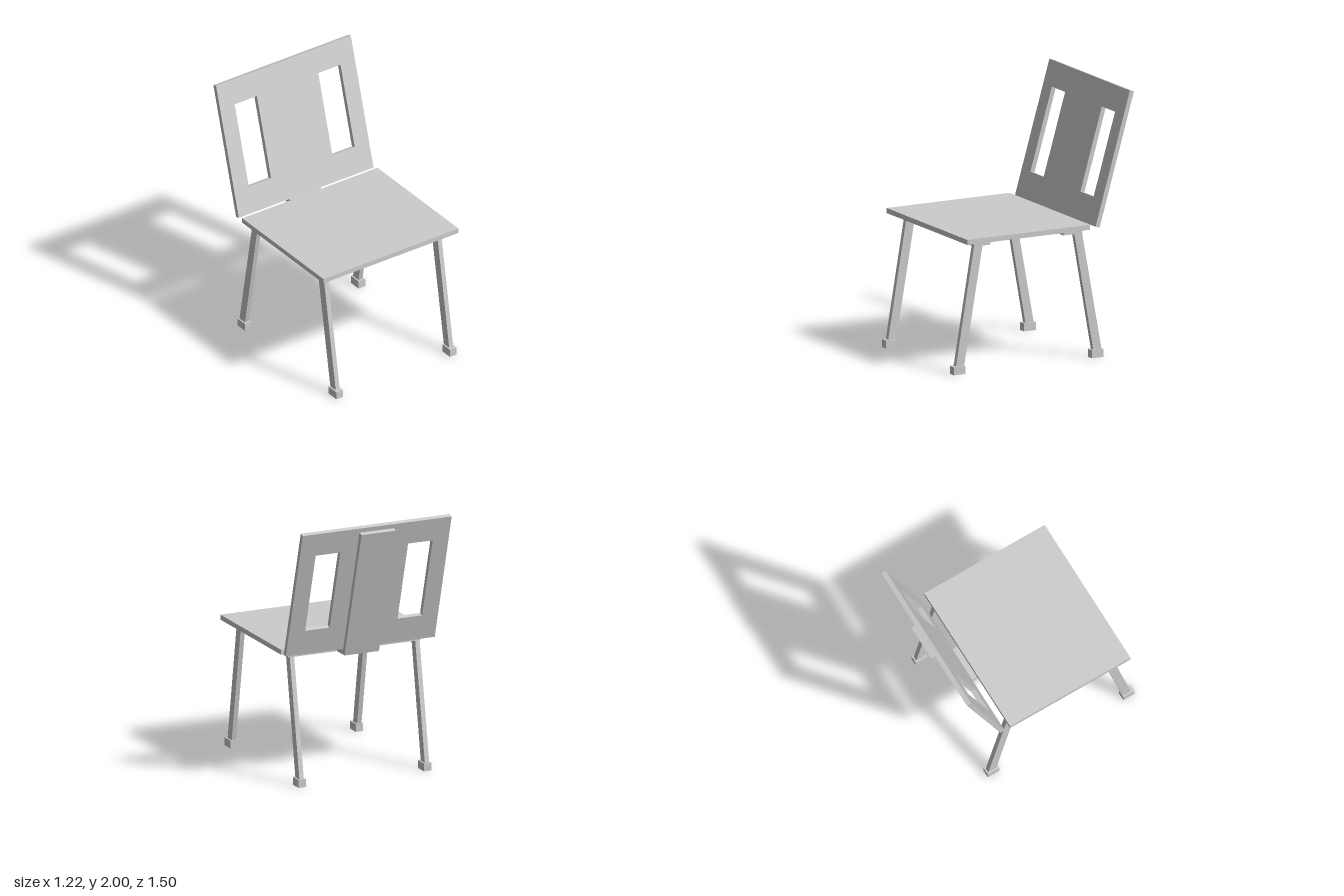
import * as THREE from 'three';

const material = new THREE.MeshStandardMaterial({ color: 0xcccccc, flatShading: true });

function add(parent, name, geometry) {
  const mesh = new THREE.Mesh(geometry, material);
  mesh.name = name;
  parent.add(mesh);
  return mesh;
}

// Box given by its limits on each axis
function box(x0, x1, y0, y1, z0, z1) {
  return new THREE.BoxGeometry(x1 - x0, y1 - y0, z1 - z0)
    .translate((x0 + x1) / 2, (y0 + y1) / 2, (z0 + z1) / 2);
}

const polygon = (points) => new THREE.Shape(points.map(([a, b]) => new THREE.Vector2(a, b)));
const extrude = (shape, depth) => new THREE.ExtrudeGeometry(shape, { depth, bevelEnabled: false });

// Side profile of [z, y] points, extruded across x0..x1
function sideProfile(points, x0, x1) {
  return extrude(polygon(points), x1 - x0).rotateY(-Math.PI / 2).translate(x1, 0, 0);
}

export function createModel() {
  const chair = new THREE.Group();
  chair.name = 'chair';

  add(chair, 'seat', box(-0.608, 0.608, 0.988, 1.026, -0.354, 0.68));

  // I-shaped plate under the seat, drawn as [x, -z] and laid flat
  const w = 0.538, s = 0.14;
  const plate = polygon([
    [-w, -0.583], [w, -0.583], [w, -0.445], [s, -0.445], [s, 0.168], [w, 0.168],
    [w, 0.33], [-w, 0.33], [-w, 0.168], [-s, 0.168], [-s, -0.445], [-w, -0.445],
  ]);
  add(chair, 'underFrame', extrude(plate, 0.037).rotateX(-Math.PI / 2).translate(0, 0.951, 0));

  // Bent strip that runs out of the plate and up behind the backrest
  add(chair, 'backSupport', sideProfile([
    [-0.33, 0.951], [-0.33, 0.988], [-0.432, 0.988], [-0.714, 1.956], [-0.749, 1.946], [-0.459, 0.951],
  ], -s, s));

  // Leaning backrest panel with two windows
  const height = 1.036, thickness = 0.036;
  const panel = polygon([[-0.606, 0], [0.606, 0], [0.606, height], [-0.606, height]]);
  for (const side of [-1, 1]) {
    const [inner, outer] = [0.276 * side, 0.476 * side];
    panel.holes.push(polygon([[inner, 0.203], [outer, 0.203], [outer, 0.849], [inner, 0.849]]));
  }
  const backrest = add(chair, 'backrest', extrude(panel, thickness).translate(0, 0, -thickness));
  backrest.position.set(0, 1.005, -0.4);
  backrest.rotation.x = -0.283;

  // Splayed legs with block feet
  for (const [side, x] of [['left', 0.507], ['right', -0.514]]) {
    add(chair, side + 'FrontLeg', sideProfile(
      [[0.577, 0.951], [0.505, 0.951], [0.66, 0.06], [0.729, 0.06]], x - 0.018, x + 0.018));
    add(chair, side + 'BackLeg', sideProfile(
      [[-0.267, 0.951], [-0.332, 0.951], [-0.496, 0.06], [-0.426, 0.06]], x - 0.018, x + 0.018));
    add(chair, side + 'FrontFoot', box(x - 0.03, x + 0.03, 0, 0.06, 0.657, 0.754));
    add(chair, side + 'BackFoot', box(x - 0.03, x + 0.03, 0, 0.06, -0.507, -0.408));
  }
  return chair;
}
